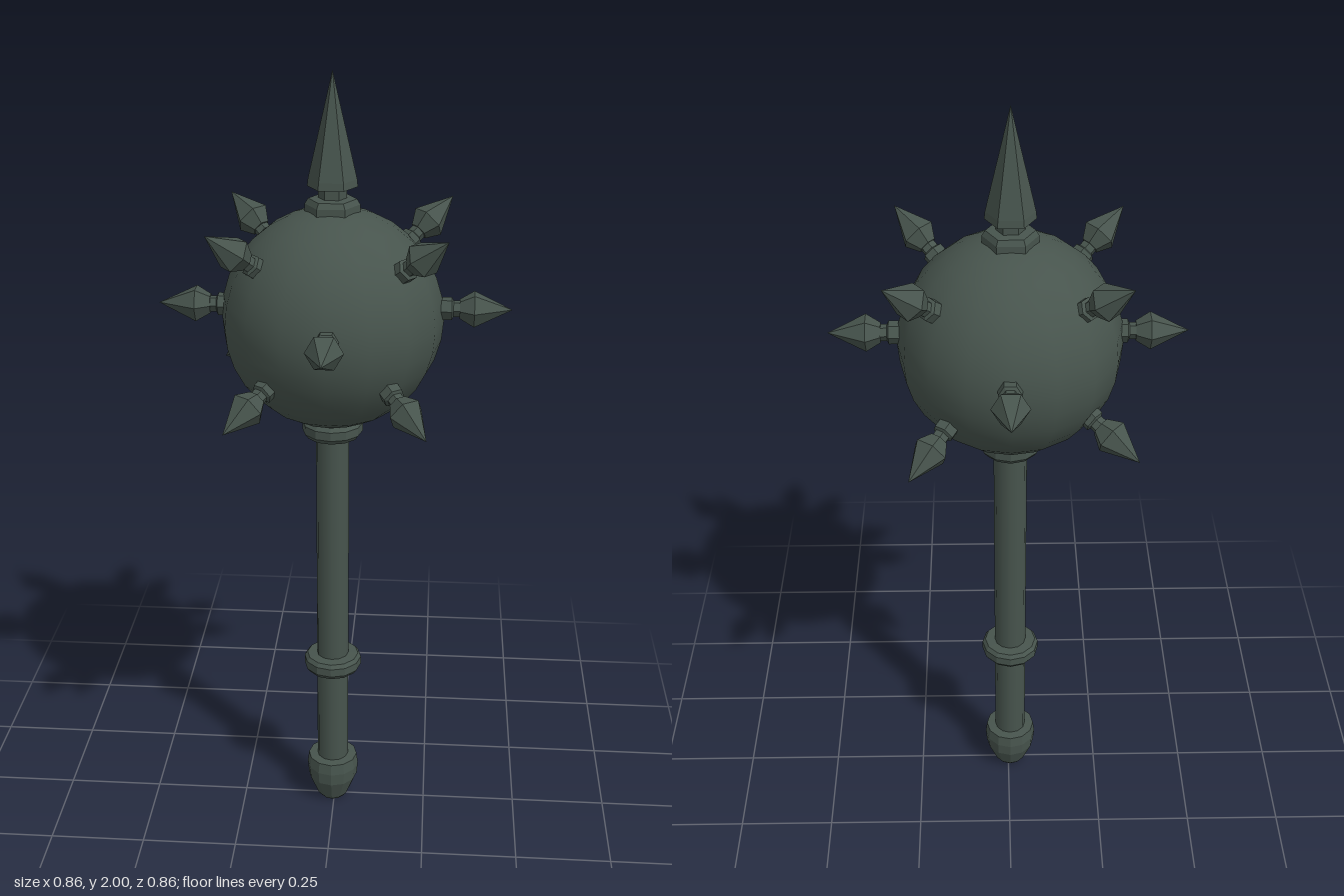
import * as THREE from 'three';

const HEAD_Y = 1.41, AXIS_X = -0.005;
const smooth = new THREE.MeshStandardMaterial({ color: 0x47544d });
const faceted = new THREE.MeshStandardMaterial({ color: 0x47544d, flatShading: true });

function lathe(name, profile, sides, material, phiStart = 0) {
  const points = profile.map(([r, y]) => new THREE.Vector2(r, y));
  const mesh = new THREE.Mesh(new THREE.LatheGeometry(points, sides, phiStart), material);
  mesh.name = name;
  return mesh;
}

// Hexagonal spike with collar, neck and pointed head; y is the distance from the ball's centre
const spikeProfile = [
  [0, 0.22], [0.028, 0.22], [0.028, 0.284], [0.02, 0.288],
  [0.02, 0.303], [0.024, 0.303], [0.045, 0.338], [0, 0.43],
];

function spike(origin, direction) {
  const mesh = lathe('spike', spikeProfile, 6, faceted, Math.PI / 2);
  const y = direction.clone().normalize();
  const x = new THREE.Vector3(0, 1, 0).cross(y).normalize();
  const z = x.clone().cross(y);
  mesh.quaternion.setFromRotationMatrix(new THREE.Matrix4().makeBasis(x, y, z));
  mesh.position.copy(origin);
  return mesh;
}

export function createModel() {
  const model = new THREE.Group();
  model.name = 'spikedMace';

  // Handle, collars and pommel
  const handle = new THREE.Group();
  handle.name = 'handle';
  handle.position.x = AXIS_X;
  const shaft = new THREE.Mesh(new THREE.CylinderGeometry(0.042, 0.042, 1.08, 12, 1, true), smooth);
  shaft.name = 'shaft';
  shaft.position.y = 0.64;
  handle.add(shaft);
  for (const [name, y] of [['gripCollar', 0.438], ['headCollar', 1.122]]) {
    const collar = lathe(name, [
      [0.042, -0.024], [0.067, -0.022], [0.076, -0.01], [0.076, 0.012], [0.068, 0.022], [0.042, 0.024],
    ], 12, faceted);
    collar.position.y = y;
    handle.add(collar);
  }
  handle.add(lathe('pommel', [
    [0, 0], [0.033, 0], [0.043, 0.012], [0.067, 0.07], [0.07, 0.105], [0.066, 0.135], [0.042, 0.137],
  ], 12, faceted));
  model.add(handle);

  // Ball
  const ball = new THREE.Mesh(new THREE.SphereGeometry(0.271, 16, 16), smooth);
  ball.name = 'ball';
  ball.position.set(AXIS_X, HEAD_Y, 0);
  model.add(ball);

  // Tall finial spike on top
  const finial = lathe('topSpike', [
    [0, 1.64], [0.066, 1.66], [0.066, 1.69], [0.058, 1.703], [0.034, 1.705],
    [0.034, 1.732], [0.06, 1.732], [0.058, 1.75], [0, 2],
  ], 6, faceted, Math.PI / 2);
  finial.position.x = AXIS_X;
  model.add(finial);

  // Four level spikes, set slightly above the ball's centre
  const levelOrigin = new THREE.Vector3(0, 1.438, 0);
  for (const [x, z] of [[1, 0], [-1, 0], [0, 1], [0, -1]]) {
    model.add(spike(levelOrigin, new THREE.Vector3(x, 0, z)));
  }

  // Slanted spikes: four above and four below
  const slantOrigin = new THREE.Vector3(0, HEAD_Y, 0);
  const slants = [
    [0.277, 0.25, -0.203], [-0.272, 0.25, -0.212], [-0.277, 0.25, 0.203], [0.268, 0.25, 0.215],
    [0.226, -0.185, -0.293], [-0.293, -0.185, -0.226], [-0.23, -0.185, 0.288], [0.224, -0.185, 0.295],
  ];
  for (const s of slants) model.add(spike(slantOrigin, new THREE.Vector3(...s)));

  return model;
}
